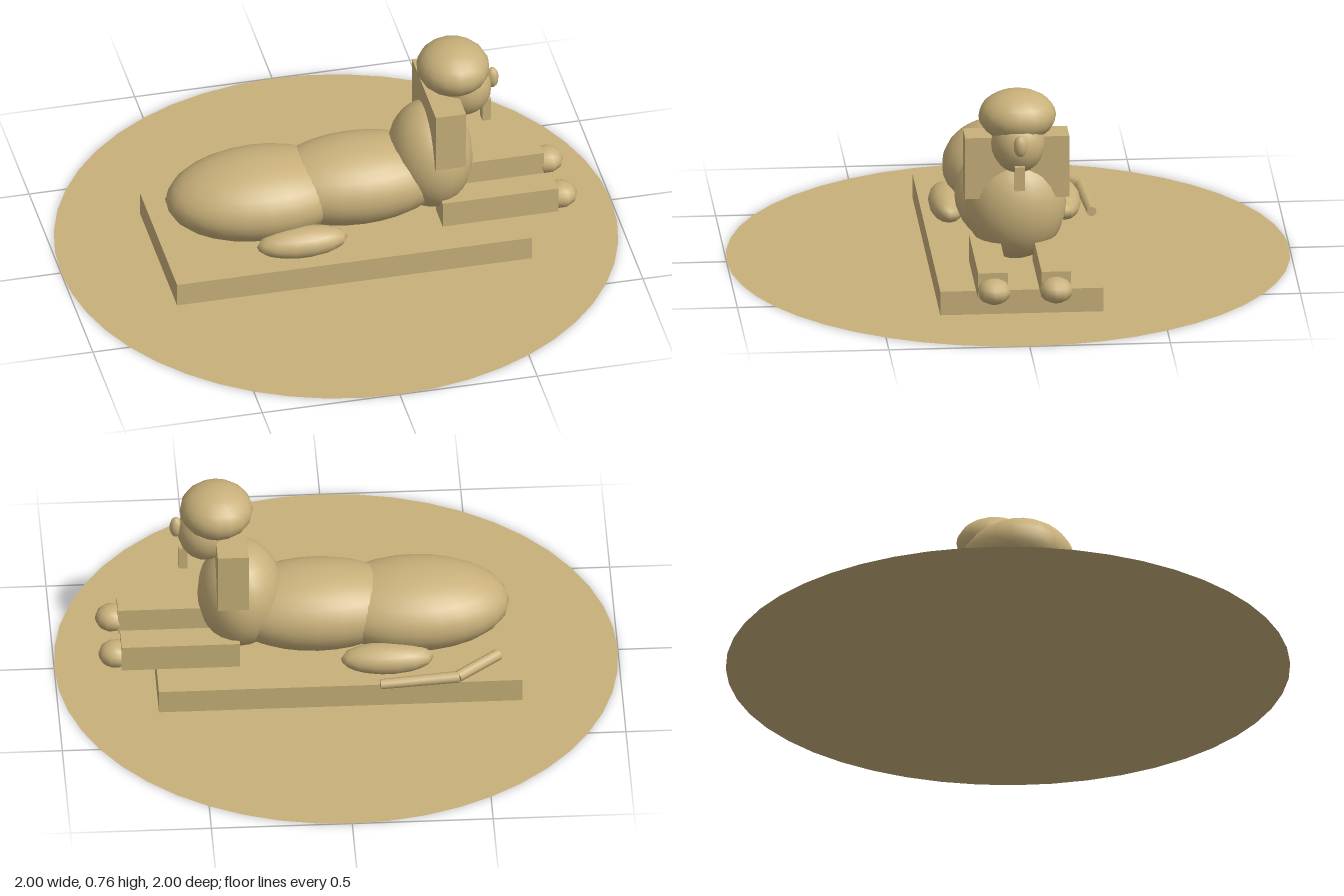
import * as THREE from 'three';

export function createModel() {
  const model = new THREE.Group();
  model.name = 'recliningStatue';
  const sand = new THREE.MeshStandardMaterial({ color: 0xc8b07a, side: THREE.DoubleSide });
  sand.name = 'sandstone';

  const add = (name, geometry, x, y, z) => {
    const mesh = new THREE.Mesh(geometry, sand);
    mesh.name = name;
    mesh.position.set(x, y, z);
    model.add(mesh);
    return mesh;
  };
  // Ellipsoid from centre and radii
  const blob = (name, [x, y, z], [rx, ry, rz], w = 16, h = 12) =>
    add(name, new THREE.SphereGeometry(1, w, h).scale(rx, ry, rz), x, y, z);
  // Box from its extents
  const block = (name, [x0, x1], [y0, y1], [z0, z1]) =>
    add(name, new THREE.BoxGeometry(x1 - x0, y1 - y0, z1 - z0),
      (x0 + x1) / 2, (y0 + y1) / 2, (z0 + z1) / 2);
  // Round rod between two points
  const rod = (name, a, b, r0, r1) => {
    const p = new THREE.Vector3(...a), q = new THREE.Vector3(...b);
    const d = q.clone().sub(p), mid = p.clone().add(q).multiplyScalar(0.5);
    const mesh = add(name, new THREE.CylinderGeometry(r1, r0, d.length(), 8), mid.x, mid.y, mid.z);
    mesh.quaternion.setFromUnitVectors(new THREE.Vector3(0, 1, 0), d.normalize());
  };

  // Ground and plinth
  add('groundDisc', new THREE.CircleGeometry(1, 48).rotateX(-Math.PI / 2), 0, 0, 0);
  block('plinth', [-0.645, 0.645], [0.002, 0.09], [-0.29, 0.29]);

  // Body
  blob('hindquarters', [-0.28, 0.235, 0], [0.335, 0.148, 0.212], 24, 16);
  blob('torso', [0.07, 0.245, 0], [0.34, 0.152, 0.195], 24, 16);
  blob('chest', [0.34, 0.31, 0], [0.152, 0.2, 0.18], 20, 14);

  // Head and headdress
  block('headdressPanel', [0.32, 0.43], [0.36, 0.588], [-0.185, 0.185]);
  blob('headdressCrown', [0.425, 0.67, 0], [0.13, 0.092, 0.138]);
  blob('face', [0.465, 0.58, 0], [0.098, 0.108, 0.096]);
  blob('nose', [0.568, 0.6, 0], [0.023, 0.04, 0.024], 10, 8);
  block('beard', [0.528, 0.56], [0.43, 0.518], [-0.018, 0.018]);

  // Legs on both sides
  for (const s of [1, -1]) {
    const side = s > 0 ? 'left' : 'right';
    block(side + 'Foreleg', [0.35, 0.77], [0.1, 0.198], s > 0 ? [0.06, 0.165] : [-0.165, -0.06]);
    blob(side + 'Paw', [0.79, 0.136, s * 0.11], [0.06, 0.046, 0.06], 10, 8);
    blob(side + 'HindLeg', [-0.17, 0.145, s * 0.205], [0.165, 0.055, 0.065], 14, 10);
  }

  // Tail curled along the right flank
  rod('tailBase', [-0.565, 0.122, -0.175], [-0.415, 0.112, -0.288], 0.021, 0.021);
  rod('tailTip', [-0.42, 0.112, -0.288], [-0.14, 0.105, -0.308], 0.021, 0.018);

  return model;
}
